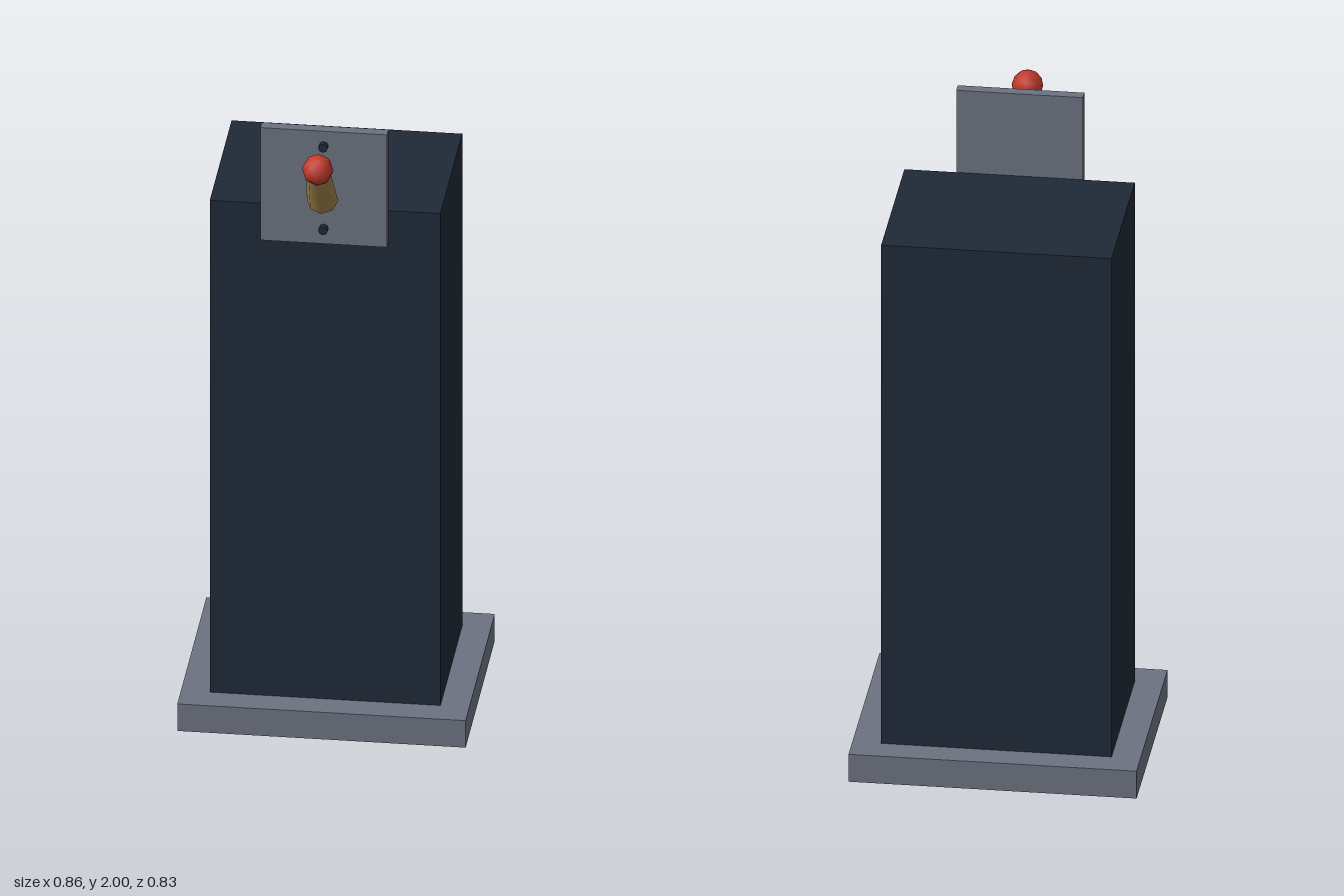
import * as THREE from 'three';

const material = (name, color) => {
  const m = new THREE.MeshStandardMaterial({ color });
  m.name = name;
  return m;
};

export function createModel() {
  const model = new THREE.Group();
  const navy = material('dark navy', 0x1f2937);
  const grey = material('slate grey', 0x6b7280);
  const brass = material('brass', 0x9c7f48);
  const red = material('red', 0xc0392b);

  const add = (name, geometry, mat, x, y, z, parent = model) => {
    const mesh = new THREE.Mesh(geometry, mat);
    mesh.name = name;
    mesh.position.set(x, y, z);
    parent.add(mesh);
    return mesh;
  };

  // Pedestal: wide foot and tall column
  add('base', new THREE.BoxGeometry(0.86, 0.09, 0.69), grey, 0, 0.045, -0.068);
  add('column', new THREE.BoxGeometry(0.688, 1.64, 0.517), navy, 0, 0.91, -0.0685);

  // Mounting plate with two bolts
  add('plate', new THREE.BoxGeometry(0.378, 0.375, 0.034), grey, 0, 1.8125, 0.207);
  for (const y of [1.677, 1.952]) {
    const bolt = add('bolt', new THREE.CylinderGeometry(0.014, 0.014, 0.034, 8), navy, 0, y, 0.226);
    bolt.rotation.x = Math.PI / 2;
  }

  // Lever: tapered handle leaning forward, knob at its end
  const lever = new THREE.Group();
  lever.name = 'lever';
  lever.position.set(0, 1.785, 0.25);
  lever.rotation.x = 0.625;
  model.add(lever);
  add('handle', new THREE.CylinderGeometry(0.036, 0.047, 0.19, 8), brass, 0, 0.095, 0, lever);
  add('knob', new THREE.SphereGeometry(0.047, 8, 6), red, 0, 0.197, 0, lever);

  return model;
}
